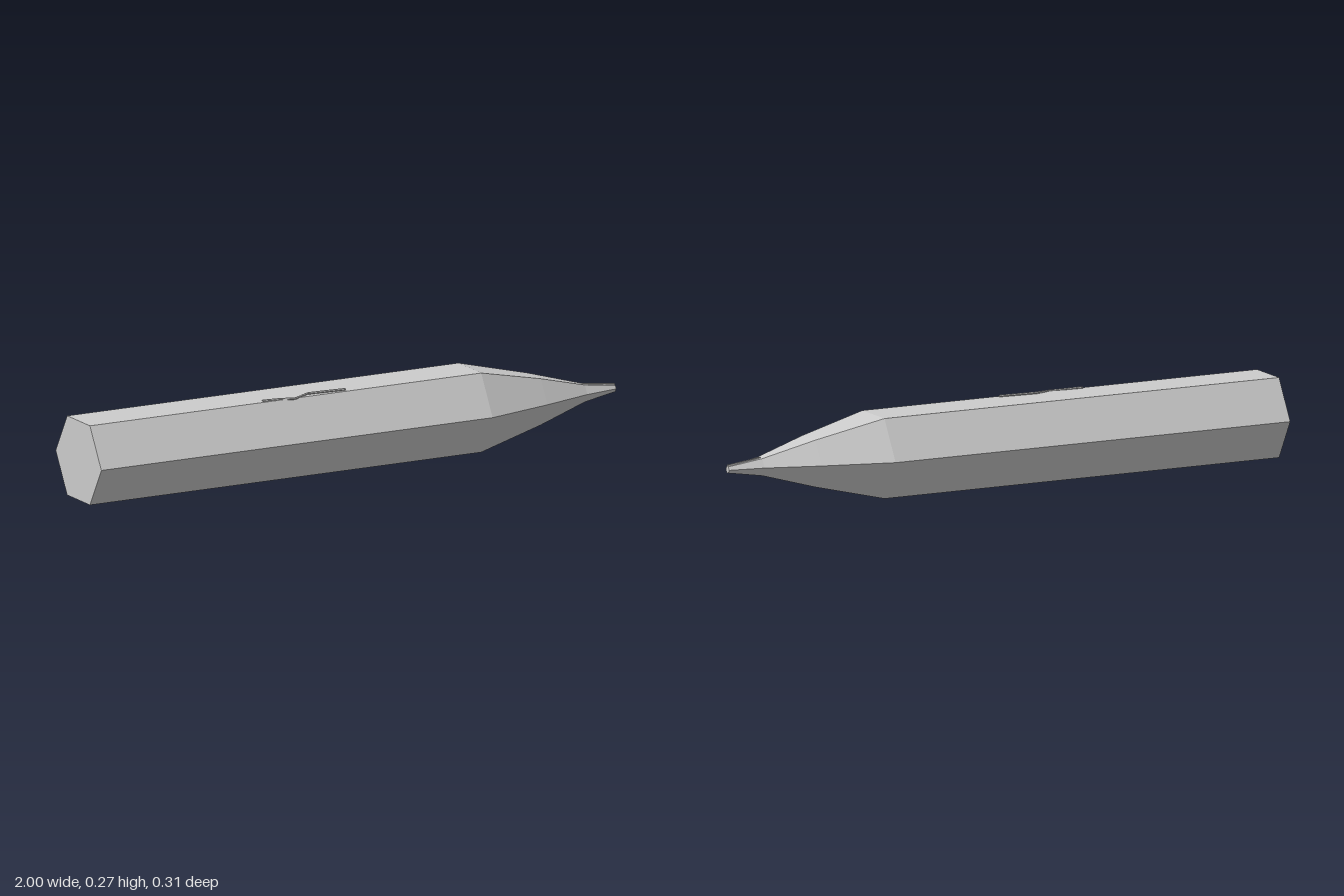
import * as THREE from 'three';

const grey = new THREE.MeshStandardMaterial({ color: 0xcccccc });
grey.name = 'lightGrey';
const AXIS_Y = 0.133;

// Faceted mesh: every face gets its own normal
function flatMesh(name, geometry) {
  const g = geometry.index ? geometry.toNonIndexed() : geometry;
  g.computeVertexNormals();
  const mesh = new THREE.Mesh(g, grey);
  mesh.name = name;
  return mesh;
}

// Six-sided solid along x from [x, radius] stations
function hexSolid(name, stations) {
  const points = stations.map(([x, r]) => new THREE.Vector2(r, x));
  const g = new THREE.LatheGeometry(points, 6);
  g.rotateZ(-Math.PI / 2);
  g.translate(0, AXIS_Y, 0);
  return flatMesh(name, g);
}

// Thin capped rod between two points
function rod(name, a, b, radius) {
  const dir = b.clone().sub(a);
  const g = new THREE.CylinderGeometry(radius, radius, dir.length(), 6);
  g.applyQuaternion(new THREE.Quaternion().setFromUnitVectors(new THREE.Vector3(0, 1, 0), dir.normalize()));
  const mid = a.clone().add(b).multiplyScalar(0.5);
  g.translate(mid.x, mid.y, mid.z);
  return flatMesh(name, g);
}

export function createModel() {
  const model = new THREE.Group();
  model.name = 'pencil';

  // Barrel, sharpened cone and lead
  model.add(hexSolid('barrel', [[-1, 0], [-1, 0.154], [0.46, 0.154]]));
  model.add(hexSolid('sharpenedCone', [[0.46, 0.154], [0.7, 0.09], [0.88, 0.033]]));
  model.add(hexSolid('lead', [[0.88, 0.033], [1, 0.012], [1, 0]]));

  // Narrow ridge along the top of the lead
  const side = new THREE.Shape([[0.87, 0.15], [1, 0.138], [1, 0.149], [0.88, 0.164]]
    .map(([x, y]) => new THREE.Vector2(x, y)));
  const ridge = new THREE.ExtrudeGeometry(side, { depth: 0.005, bevelEnabled: false });
  ridge.translate(0, 0, -0.0025);
  model.add(flatMesh('leadRidge', ridge));

  // Raised zigzag scratch on the upper front edge
  const path = [
    [-0.35, 0.269, 0.067], [-0.29, 0.268, 0.071], [-0.235, 0.266, 0.08],
    [-0.175, 0.27, 0.054], [-0.1, 0.27, 0.059], [-0.04, 0.27, 0.064],
  ].map((p) => new THREE.Vector3(...p));
  const scratch = new THREE.Group();
  scratch.name = 'scratch';
  for (let i = 0; i < path.length - 1; i++) {
    scratch.add(rod('scratchSegment', path[i], path[i + 1], 0.004));
  }
  model.add(scratch);

  return model;
}
